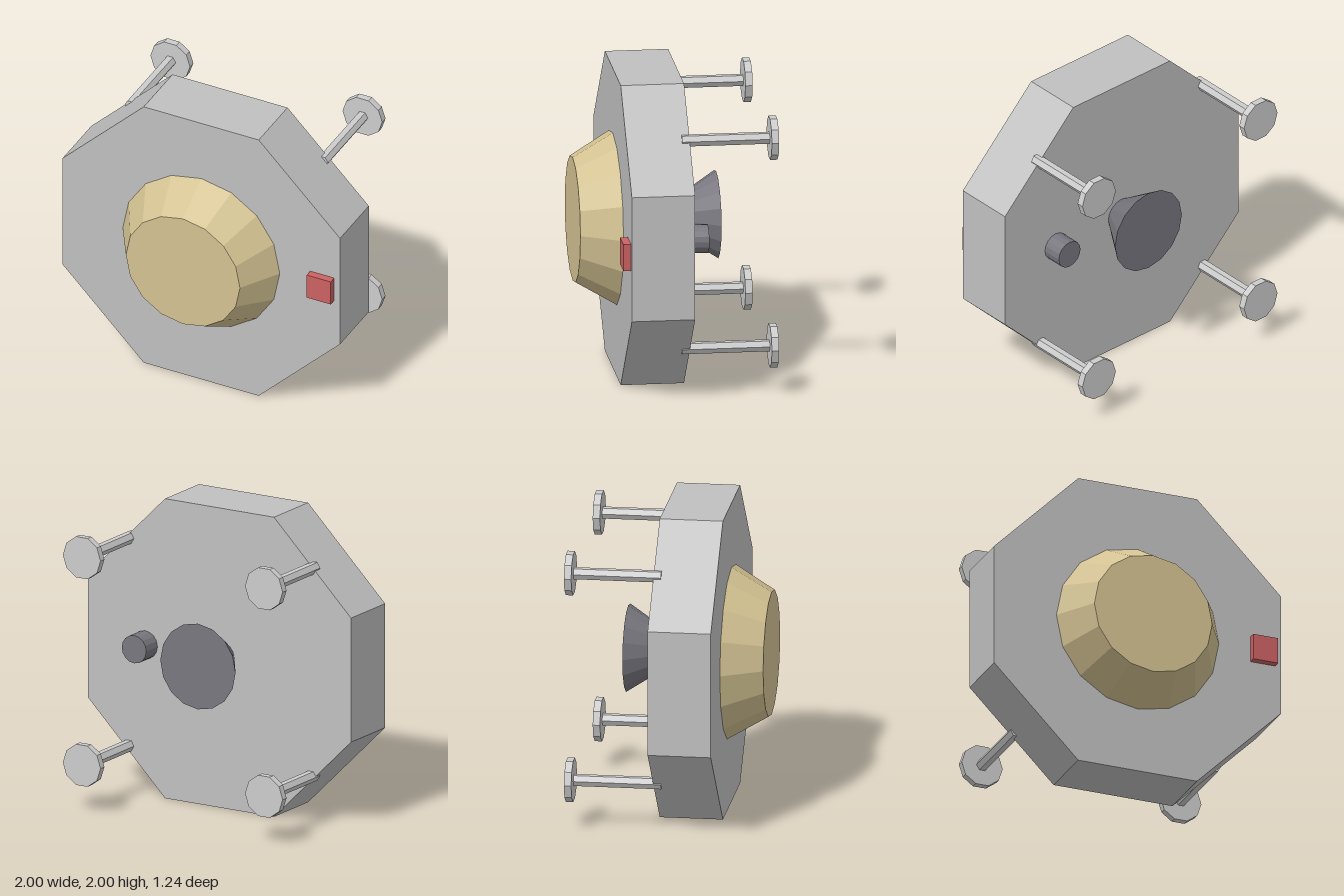
import * as THREE from 'three';

function material(name, color) {
  const m = new THREE.MeshStandardMaterial({ color });
  m.name = name;
  return m;
}

// Faceted prism or frustum running along z, from zBack to zFront
function frustum(rBack, rFront, zBack, zFront, sides, turn = 0) {
  const g = new THREE.CylinderGeometry(rFront, rBack, zFront - zBack, sides, 1, false, turn);
  g.rotateX(Math.PI / 2);
  g.translate(0, 0, (zFront + zBack) / 2);
  const flat = g.toNonIndexed();
  flat.computeVertexNormals();
  return flat;
}

export function createModel() {
  const grey = material('hull grey', 0xc0c0c1);
  const lightGrey = material('strut grey', 0xcccccc);
  const sand = material('sand', 0xd3c292);
  const dark = material('dark slate', 0x78777f);
  const red = material('red', 0xcc6262);

  const model = new THREE.Group();
  const add = (name, geometry, mat, x, y, z = 0, parent = model) => {
    const mesh = new THREE.Mesh(geometry, mat);
    mesh.name = name;
    mesh.position.set(x, y, z);
    parent.add(mesh);
  };

  // Octagonal hull with a faceted dome and a small red hatch on the front
  add('hull', frustum(1 / Math.cos(Math.PI / 8), 1 / Math.cos(Math.PI / 8), -0.05, 0.36, 8, Math.PI / 8), grey, 0, 1);
  add('frontDome', frustum(0.566, 0.411, 0.36, 0.62, 16), sand, 0, 1.003);
  add('redHatch', new THREE.BoxGeometry(0.173, 0.176, 0.05), red, 0.872, 1.003, 0.385);

  // Main nozzle and small side thruster on the back
  add('mainNozzle', frustum(0.286, 0.115, -0.31, -0.05, 16), dark, 0, 1.003);
  add('sideThruster', frustum(0.093, 0.093, -0.185, -0.05, 16), dark, 0.565, 1.003);

  // Four landing legs, each a hexagonal strut with a ten-sided foot pad
  const strut = frustum(0.04, 0.04, -0.57, 0, 6, Math.PI / 2);
  const pad = frustum(0.143, 0.143, -0.615, -0.568, 10, Math.PI / 2);
  for (const x of [-0.694, 0.691]) {
    for (const y of [0.311, 1.697]) {
      const leg = new THREE.Group();
      leg.name = (y > 1 ? 'upper' : 'lower') + (x > 0 ? 'Left' : 'Right') + 'Leg';
      leg.position.set(x, y, 0);
      add('strut', strut, lightGrey, 0, 0, 0, leg);
      add('footPad', pad, lightGrey, 0, 0, 0, leg);
      model.add(leg);
    }
  }
  return model;
}
